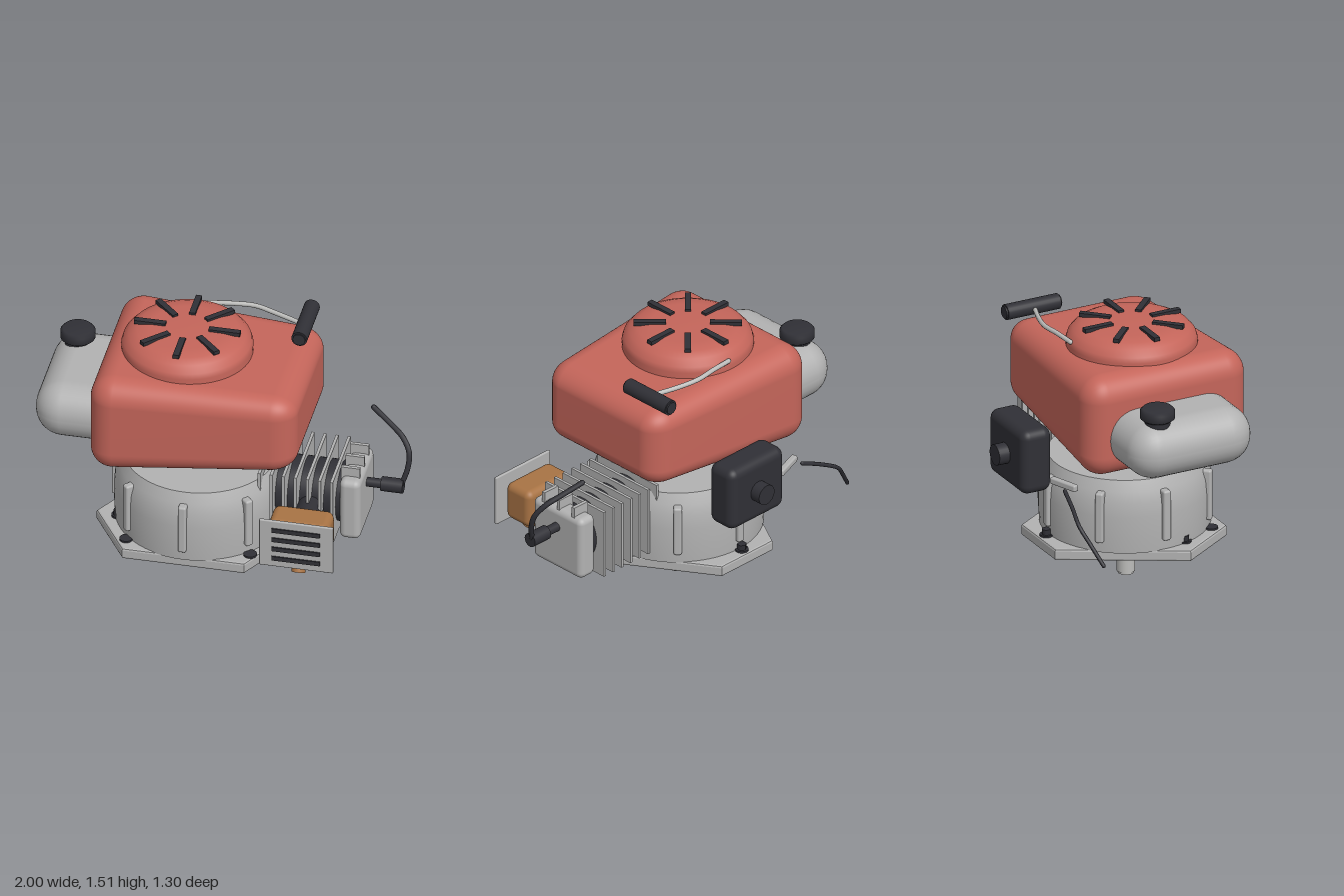
import * as THREE from 'three';
import { RoundedBoxGeometry } from 'three/addons/geometries/RoundedBoxGeometry.js';
import { mergeVertices } from 'three/addons/utils/BufferGeometryUtils.js';

const mat = (name, color) => {
  const m = new THREE.MeshStandardMaterial({ color });
  m.name = name;
  return m;
};

export function createModel() {
  const root = new THREE.Group();
  root.name = 'smallEngine';
  const red = mat('shroud red', 0xc4655a);
  const grey = mat('cast grey', 0xb2b2b2);
  const steel = mat('steel', 0xbcbcba);
  const dark = mat('black plastic', 0x303036);
  const copper = mat('muffler brown', 0xa87344);

  const add = (name, geo, material, x = 0, y = 0, z = 0) => {
    const m = new THREE.Mesh(geo, material);
    m.name = name;
    m.position.set(x, y, z);
    root.add(m);
    return m;
  };
  // Box given by its min and max corners, rounded when r > 0
  const box = (name, material, a, b, r = 0) => {
    const s = a.map((v, i) => b[i] - v);
    const geo = r ? new RoundedBoxGeometry(...s, 4, r) : new THREE.BoxGeometry(...s);
    return add(name, geo, material, ...a.map((v, i) => (v + b[i]) / 2));
  };
  // Cylinder between two points
  const rod = (name, material, a, b, r, sides = 24) => {
    const p = new THREE.Vector3(...a), q = new THREE.Vector3(...b);
    const d = q.clone().sub(p);
    const m = add(name, new THREE.CylinderGeometry(r, r, d.length(), sides), material);
    m.position.copy(p).add(q).multiplyScalar(0.5);
    m.quaternion.setFromUnitVectors(new THREE.Vector3(0, 1, 0), d.normalize());
    return m;
  };
  // Bent round bar with closed ends
  const bentRod = (name, material, pts, r) => {
    const v = pts.map((p) => new THREE.Vector3(...p));
    const curve = new THREE.CatmullRomCurve3(v, false, 'centripetal');
    add(name, new THREE.TubeGeometry(curve, 40, r, 10), material);
    for (const p of [v[0], v[v.length - 1]]) add(name + 'End', new THREE.SphereGeometry(r, 10, 8), material, p.x, p.y, p.z);
  };
  const lathe = (name, material, pts, x, z) =>
    add(name, new THREE.LatheGeometry(pts.map((p) => new THREE.Vector2(...p)), 64), material, x, 0, z);

  // Output shaft with seal and key
  const CX = -0.145, CZ = 0.1;
  rod('crankshaft', steel, [CX, 0.012, CZ], [CX, 0.26, CZ], 0.05);
  rod('shaftTip', steel, [CX, 0, CZ], [CX, 0.012, CZ], 0.044);
  rod('shaftSeal', dark, [CX, 0.195, CZ], [CX, 0.255, CZ], 0.052);
  box('shaftKey', steel, [CX + 0.03, 0.025, CZ - 0.013], [CX + 0.055, 0.17, CZ + 0.013]);

  // Six-sided mounting plate
  const outline = [[0.39, 0.13], [0.18, 0.52], [-0.475, 0.52], [-0.68, 0.2], [-0.33, -0.42], [0.04, -0.42]];
  const plateShape = new THREE.Shape(outline.map(([x, z]) => new THREE.Vector2(x, -z)));
  const plateGeo = new THREE.ExtrudeGeometry(plateShape, {
    depth: 0.041, bevelEnabled: true, bevelThickness: 0.012, bevelSize: 0.012, bevelSegments: 2,
  });
  plateGeo.rotateX(-Math.PI / 2);
  add('mountingPlate', plateGeo, grey, 0, 0.262, 0);
  for (const [x, z] of [[-0.57, 0.23], [-0.15, -0.385], [0.285, 0.345], [-0.48, 0.44], [0.2, 0.44]]) {
    rod('boltWasher', dark, [x, 0.312, z], [x, 0.325, z], 0.036);
    if (z < 0.4) rod('plateBolt', dark, [x, 0.32, z], [x, 0.355, z], 0.026, 6);
  }

  // Crankcase with eight vertical ribs
  lathe('crankcase', grey, [[0.46, 0.31], [0.465, 0.4], [0.465, 0.52], [0.458, 0.6], [0.44, 0.66], [0.415, 0.718]], CX, CZ - 0.005);
  const lid = add('crankcaseTop', new THREE.CircleGeometry(0.415, 64), grey, CX, 0.718, CZ - 0.005);
  lid.rotation.x = -Math.PI / 2;
  for (let i = 0; i < 8; i++) {
    const a = (i * Math.PI) / 4;
    const rib = add('crankcaseRib', new RoundedBoxGeometry(0.045, 0.29, 0.06, 3, 0.012), grey,
      CX + 0.456 * Math.sin(a), 0.515, CZ - 0.005 + 0.456 * Math.cos(a));
    rib.rotation.y = a;
  }

  // Finned cylinder and head
  rod('cylinderBarrel', dark, [0.15, 0.57, CZ], [0.67, 0.57, CZ], 0.165, 40);
  for (let i = 0; i < 7; i++) {
    const x = 0.215 + i * 0.066;
    box('coolingFin', grey, [x, 0.367, -0.122], [x + 0.016, 0.768, 0.325]);
  }
  box('cylinderHead', grey, [0.65, 0.382, -0.085], [0.765, 0.752, 0.285], 0.035);
  for (const z of [-0.012, 0.1, 0.212]) box('headFin', grey, [0.65, 0.68, z - 0.01], [0.752, 0.806, z + 0.01]);

  // Spark plug and its lead
  rod('sparkPlug', dark, [0.75, 0.645, CZ], [0.86, 0.645, CZ], 0.026);
  rod('plugBoot', dark, [0.845, 0.645, CZ], [0.965, 0.645, CZ], 0.04);
  bentRod('plugLead', dark, [[0.95, 0.645, 0.1], [0.982, 0.75, 0.072], [0.983, 0.83, 0.045],
    [0.94, 0.895, 0.005], [0.86, 0.945, -0.04], [0.76, 1.0, -0.09]], 0.015);

  // Muffler, outlet and heat shield
  rod('exhaustPort', dark, [0.49, 0.545, 0.25], [0.49, 0.545, 0.43], 0.072);
  box('muffler', copper, [0.33, 0.44, 0.415], [0.66, 0.66, 0.6], 0.04);
  rod('exhaustOutlet', copper, [0.495, 0.47, 0.52], [0.495, 0.345, 0.583], 0.038);
  box('heatShield', grey, [0.292, 0.4, 0.622], [0.698, 0.692, 0.64], 0.006);
  for (let i = 0; i < 4; i++) {
    const y = 0.455 + i * 0.06;
    box('shieldSlot', dark, [0.362, y - 0.013, 0.638], [0.625, y + 0.013, 0.647]);
  }

  // Shroud: rounded box narrowing towards +x
  let shroudGeo = new RoundedBoxGeometry(1.12, 0.58, 1, 8, 0.135);
  shroudGeo.deleteAttribute('normal');
  shroudGeo.deleteAttribute('uv');
  shroudGeo = mergeVertices(shroudGeo, 1e-4);
  const p = shroudGeo.attributes.position;
  for (let i = 0; i < p.count; i++) {
    const t = (p.getX(i) + 0.56) / 1.12, h = (p.getY(i) + 0.29) / 0.58;
    const low = 0.803 + 0.098 * t, high = 1.392 - 0.042 * t;
    p.setXYZ(i, p.getX(i) - 0.105, low + (high - low) * h, 0.095 + p.getZ(i) * (1 - 0.16 * t));
  }
  shroudGeo.computeVertexNormals();
  add('shroud', shroudGeo, red);

  // Fan dome with radial vents
  lathe('fanDome', red, [[0.352, 1.3], [0.354, 1.4], [0.345, 1.43], [0.315, 1.465], [0.27, 1.488], [0.2, 1.499], [0, 1.5]], -0.22, 0.095);
  for (let i = 0; i < 8; i++) {
    const a = (i * Math.PI) / 4;
    const vent = add('domeVent', new THREE.BoxGeometry(0.034, 0.022, 0.172), dark,
      -0.22 + 0.204 * Math.sin(a), 1.501, 0.095 + 0.204 * Math.cos(a));
    vent.rotation.y = a;
  }

  // Fuel tank and cap
  box('fuelTank', grey, [-1, 0.88, -0.27], [-0.45, 1.2, 0.46], 0.155);
  rod('fillerNeck', dark, [-0.86, 1.15, -0.09], [-0.86, 1.225, -0.09], 0.07);
  lathe('fuelCap', dark, [[0, 1.21], [0.08, 1.21], [0.094, 1.222], [0.094, 1.262], [0.08, 1.277], [0, 1.277]], -0.86, -0.09);

  // Air filter and knob
  box('airFilter', dark, [-0.275, 0.627, -0.592], [0.132, 0.997, -0.41], 0.05);
  rod('filterKnob', dark, [-0.07, 0.81, -0.655], [-0.07, 0.81, -0.58], 0.058);

  // Pull lever with grip
  bentRod('leverRod', steel, [[-0.18, 1.43, -0.255], [-0.05, 1.435, -0.268], [0.07, 1.432, -0.277],
    [0.18, 1.422, -0.25], [0.34, 1.412, -0.195]], 0.013);
  rod('leverGrip', dark, [0.362, 1.415, -0.36], [0.362, 1.415, -0.042], 0.043);
  for (const s of [-1, 1]) rod('gripEnd', dark, [0.362, 1.415, -0.201 + s * 0.15], [0.362, 1.415, -0.201 + s * 0.168], 0.034);

  // Governor arm and control rod
  const arm = add('governorArm', new RoundedBoxGeometry(0.18, 0.038, 0.036, 3, 0.01), grey, -0.445, 0.74, -0.435);
  arm.rotation.y = 0.34;
  bentRod('controlRod', dark, [[-0.52, 0.735, -0.47], [-0.64, 0.685, -0.488], [-0.75, 0.625, -0.505],
    [-0.82, 0.54, -0.475], [-0.895, 0.437, -0.435]], 0.011);
  return root;
}
